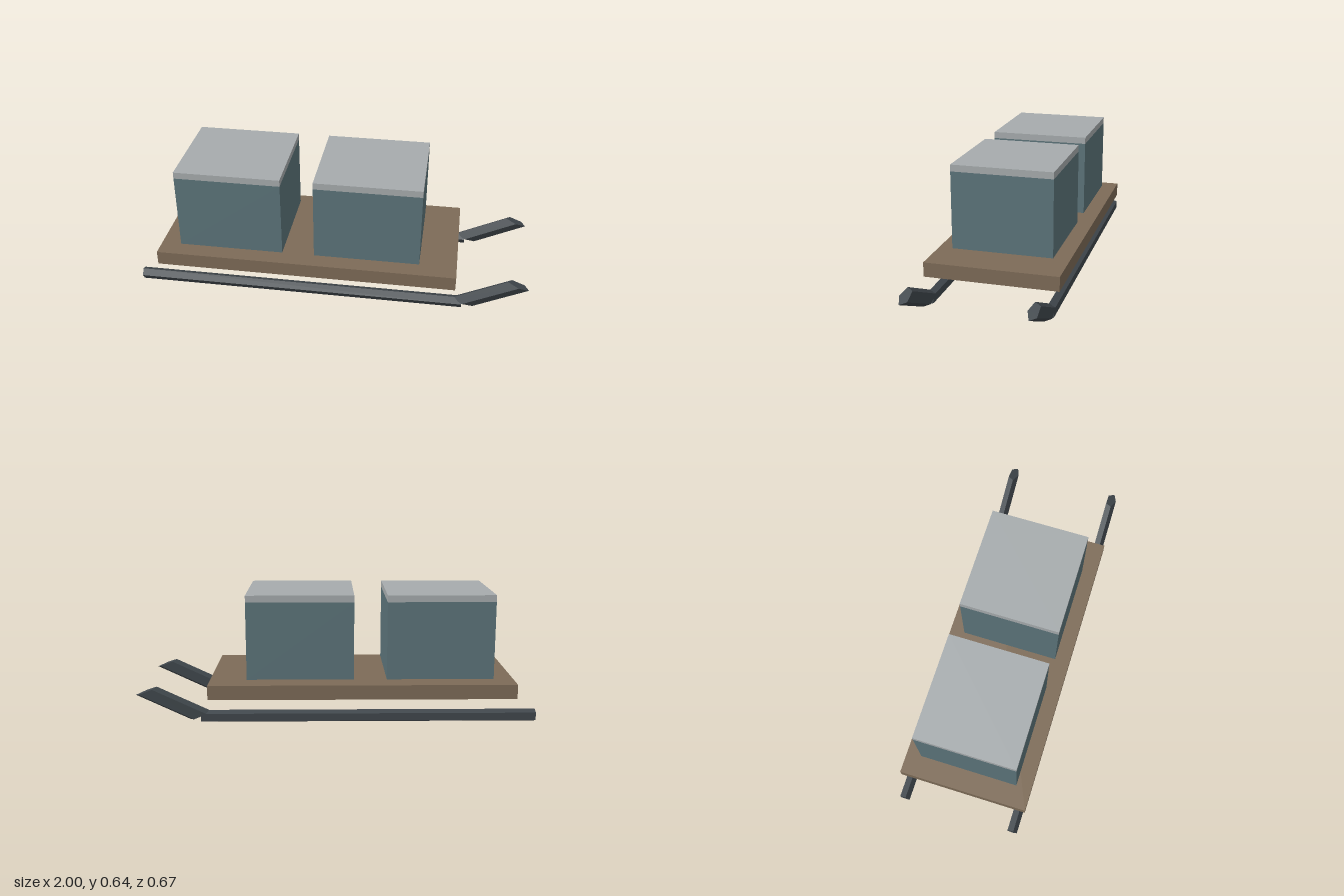
import * as THREE from 'three';

const material = (color) => new THREE.MeshStandardMaterial({ color, flatShading: true });

export function createModel() {
  const model = new THREE.Group();
  model.name = 'cargoSled';
  const wood = material(0x7d6b57);
  const crateBlue = material(0x5c747a);
  const lidGrey = material(0xa6abad);
  const metal = material(0x40474c);

  // Box given by its lower and upper limits
  function box(name, mat, [x0, x1], [y0, y1], [z0, z1]) {
    const mesh = new THREE.Mesh(new THREE.BoxGeometry(x1 - x0, y1 - y0, z1 - z0), mat);
    mesh.position.set((x0 + x1) / 2, (y0 + y1) / 2, (z0 + z1) / 2);
    mesh.name = name;
    model.add(mesh);
  }

  // Deck
  box('deck', wood, [-0.9, 0.637], [0.127, 0.2], [-0.333, 0.333]);

  // Two crates with lids
  for (const [name, x0] of [['rear', -0.793], ['front', -0.09]]) {
    const xs = [x0, x0 + 0.538];
    box(name + 'Crate', crateBlue, xs, [0.21, 0.602], [-0.255, 0.255]);
    box(name + 'CrateLid', lidGrey, xs, [0.602, 0.636], [-0.255, 0.255]);
  }

  // Five-sided runners; the stretch along x shears the upturned tips
  const stretch = 2.3;
  const radius = 0.0326;
  function rod(name, x, y, length, angle) {
    const mesh = new THREE.Mesh(new THREE.CylinderGeometry(radius, radius, length, 5), metal);
    mesh.position.set(x / stretch, y, 0);
    mesh.rotation.z = angle - Math.PI / 2;
    mesh.name = name;
    return mesh;
  }
  for (const [name, z] of [['leftRunner', 0.294], ['rightRunner', -0.294]]) {
    const runner = new THREE.Group();
    runner.name = name;
    runner.add(rod(name + 'Bar', -0.163, 0.032, 1.674 / stretch, 0));
    runner.add(rod(name + 'Tip', 0.811, 0.1, 0.173, THREE.MathUtils.degToRad(47.5)));
    runner.scale.set(stretch, 1, 0.85);
    runner.position.z = z;
    model.add(runner);
  }
  return model;
}
